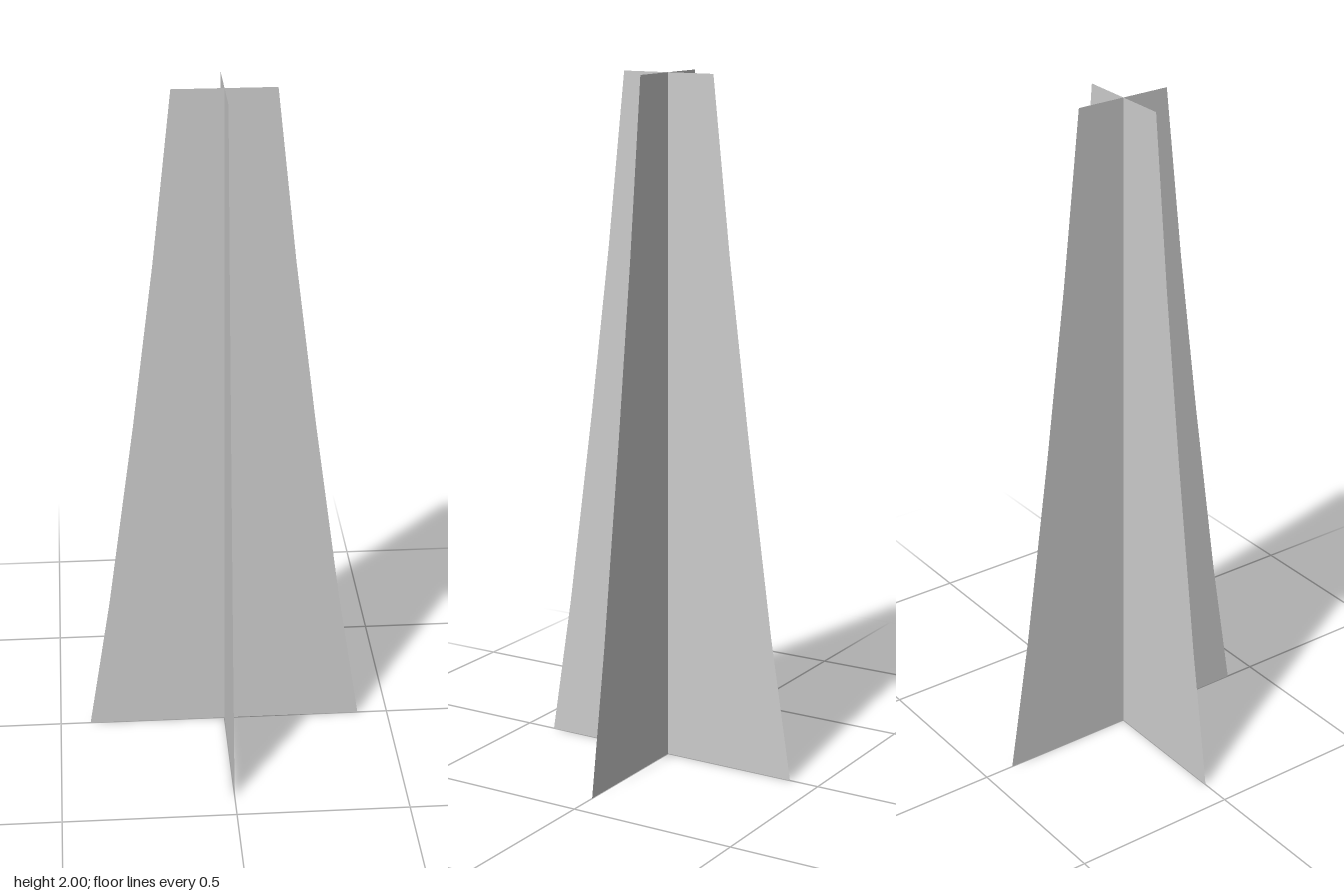
import * as THREE from 'three';

// Half-width of a blade at rising heights: [half-width, y]
const PROFILE = [[0.41, 0], [0.343, 0.42], [0.263, 1], [0.2, 1.5], [0.145, 2]];

export function createModel() {
  const group = new THREE.Group();
  group.name = 'crossedBlades';
  const material = new THREE.MeshStandardMaterial({ color: 0xcccccc, flatShading: true, side: THREE.DoubleSide });

  // Flat tapering blade, mirrored about its centre line
  const right = PROFILE.map(([x, y]) => new THREE.Vector2(x, y));
  const left = PROFILE.map(([x, y]) => new THREE.Vector2(-x, y)).reverse();
  const geometry = new THREE.ShapeGeometry(new THREE.Shape([...right, ...left]));

  // Two blades crossing at right angles on the vertical axis
  ['sidewaysBlade', 'lengthwiseBlade'].forEach((name, i) => {
    const blade = new THREE.Mesh(geometry, material);
    blade.name = name;
    blade.rotation.y = i * Math.PI / 2;
    group.add(blade);
  });
  return group;
}
